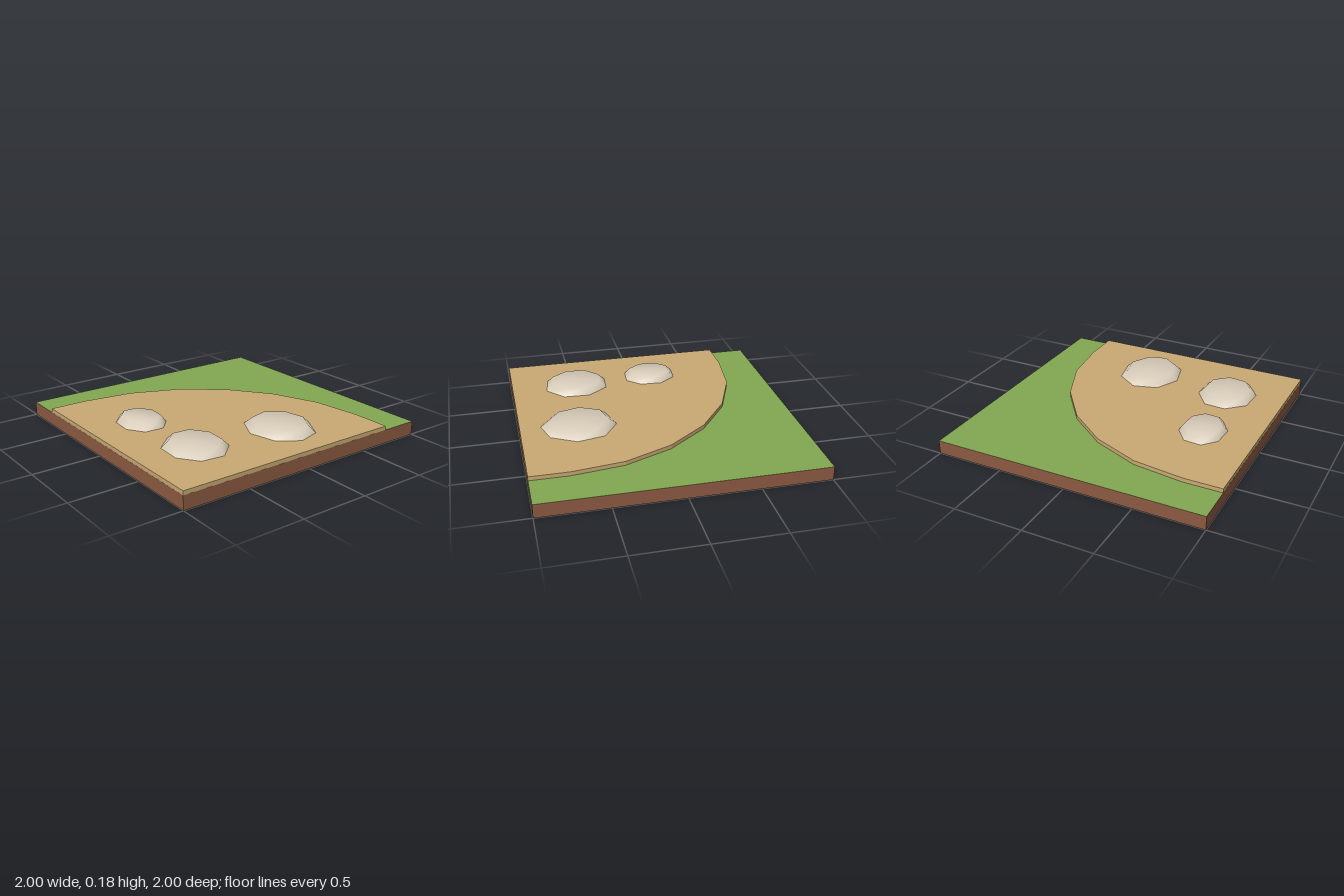
import * as THREE from 'three';

const mat = (name, color, extra = {}) => {
  const m = new THREE.MeshStandardMaterial({ color, ...extra });
  m.name = name;
  return m;
};

// Walls rising from a convex outline of [x, z] points (clockwise from above),
// shrunk by `taper` at the top, with an optional lid.
function raise(outline, y0, y1, { taper = 1, lid = true, smooth = false } = {}) {
  const n = outline.length;
  const cx = outline.reduce((s, p) => s + p[0], 0) / n;
  const cz = outline.reduce((s, p) => s + p[1], 0) / n;
  const pos = [], index = [];
  for (const [x, z] of outline) pos.push(x, y0, z);
  for (const [x, z] of outline) pos.push(cx + (x - cx) * taper, y1, cz + (z - cz) * taper);
  pos.push(cx, y1, cz);
  for (let i = 0; i < n; i++) {
    const j = (i + 1) % n;
    index.push(j, i, n + i, j, n + i, n + j);
    if (lid) index.push(2 * n, n + j, n + i);
  }
  let g = new THREE.BufferGeometry();
  g.setAttribute('position', new THREE.Float32BufferAttribute(pos, 3));
  g.setIndex(index);
  if (!smooth) g = g.toNonIndexed();
  g.computeVertexNormals();
  return g;
}

export function createModel() {
  const group = new THREE.Group();
  const soil = mat('soil brown', 0x8c5a42, { side: THREE.DoubleSide });
  const grass = mat('grass green', 0x82a852, { side: THREE.DoubleSide });
  const sand = mat('sand tan', 0xc9aa74);
  const stone = mat('stone beige', 0xd9cdba);
  const add = (name, geometry, material) => {
    const mesh = new THREE.Mesh(geometry, material);
    mesh.name = name;
    group.add(mesh);
    return mesh;
  };

  // Hollow tile: four soil walls under a thin grass sheet
  add('soilWalls', raise([[-1, 1], [-1, -1], [1, -1], [1, 1]], 0, 0.1, { lid: false }), soil);
  add('grassTop', new THREE.PlaneGeometry(2, 2).rotateX(-Math.PI / 2).translate(0, 0.1, 0), grass);

  // Sand slab with one large rounded corner, its foot sunk just into the grass
  const edge = 0.9995;
  const bed = [[-0.72, edge]];
  for (let i = 0; i <= 6; i++) {
    const a = (i * Math.PI) / 12;
    bed.push([0.72 - 1.44 * Math.cos(a), 0.72 - 1.44 * Math.sin(a)]);
  }
  bed.push([edge, -0.72], [edge, edge]);
  add('sandBed', raise(bed, 0.094, 0.13), sand);

  // Low rounded stones
  const stones = {
    smallStone: [[-0.16, 0.45], [0, 0.46], [0.1, 0.55], [0.09, 0.69],
      [-0.03, 0.77], [-0.19, 0.76], [-0.29, 0.67], [-0.28, 0.54]],
    mediumStone: [[0.43, 0.36], [0.62, 0.37], [0.74, 0.5], [0.72, 0.67],
      [0.58, 0.77], [0.39, 0.76], [0.27, 0.63], [0.28, 0.47]],
    largeStone: [[0.42, -0.3], [0.62, -0.34], [0.8, -0.24], [0.85, -0.07],
      [0.74, 0.08], [0.54, 0.13], [0.36, 0.04], [0.31, -0.14]],
  };
  for (const [name, outline] of Object.entries(stones)) {
    add(name, raise(outline, 0.13, 0.18, { taper: 0.78, smooth: true }), stone);
  }
  return group;
}
